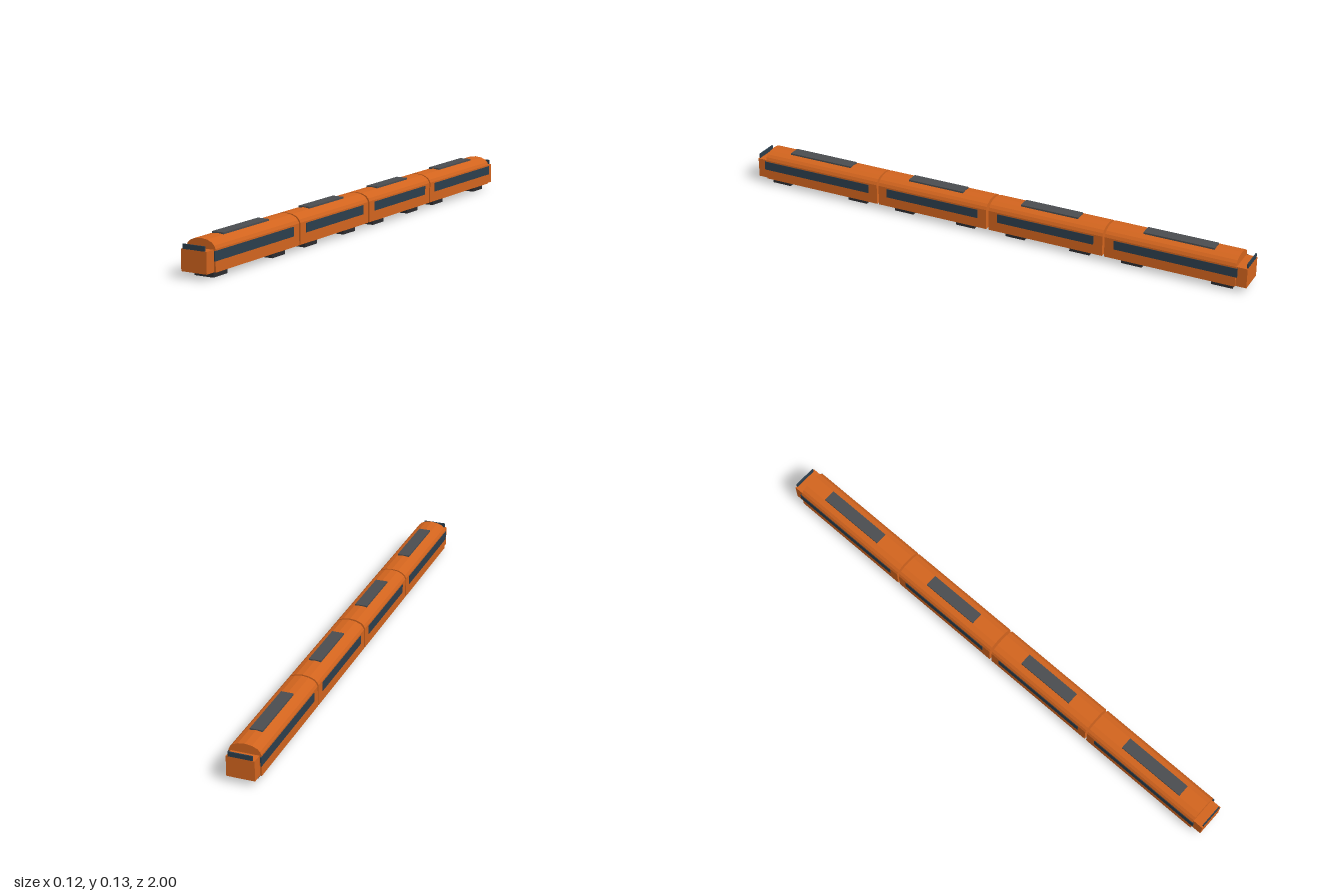
import * as THREE from 'three';

const paint = (color) => new THREE.MeshStandardMaterial({ color, flatShading: true });

export function createModel() {
  const train = new THREE.Group();
  train.name = 'train';
  const orange = paint(0xd2641e), glass = paint(0x2c3e4c);
  const roofGrey = paint(0x4a4d50), bogieGrey = paint(0x2b2b2f);

  // Box given by its centre x, its y range and its z range
  const box = (parent, name, material, width, x, y0, y1, z0, z1) => {
    const mesh = new THREE.Mesh(new THREE.BoxGeometry(width, y1 - y0, z1 - z0), material);
    mesh.position.set(x, (y0 + y1) / 2, (z0 + z1) / 2);
    mesh.name = name;
    parent.add(mesh);
  };

  // Body cross-section: straight sides under a faceted arched roof
  const half = [[0.058, 0.022], [0.058, 0.1], [0.053, 0.111], [0.044, 0.12], [0.025, 0.128]];
  const section = new THREE.Shape([
    ...half.map(([x, y]) => new THREE.Vector2(x, y)),
    new THREE.Vector2(0, 0.131),
    ...half.slice().reverse().map(([x, y]) => new THREE.Vector2(-x, y)),
  ]);

  // z ranges of one end car and one middle car
  const cars = [
    { name: 'endCar', body: [0.467, 0.96], windows: [0.503, 0.966], roof: [0.6, 0.867],
      bogies: [[0.525, 0.605], [0.867, 0.946]], nose: true },
    { name: 'middleCar', body: [0.005, 0.459], windows: [0.041, 0.424], roof: [0.119, 0.347],
      bogies: [[0.064, 0.142], [0.322, 0.401]] },
  ];

  // Each car is repeated, turned half round, at the other end
  for (const end of [0, 1]) {
    for (const spec of cars) {
      const car = new THREE.Group();
      car.name = spec.name;
      car.rotation.y = end * Math.PI;
      train.add(car);

      const [z0, z1] = spec.body;
      const body = new THREE.Mesh(
        new THREE.ExtrudeGeometry(section, { depth: z1 - z0, bevelEnabled: false }), orange);
      body.position.z = z0;
      body.name = 'body';
      car.add(body);

      for (const side of [-1, 1])
        box(car, 'windowBand', glass, 0.004, side * 0.0577, 0.06, 0.094, ...spec.windows);
      box(car, 'roofUnit', roofGrey, 0.046, 0, 0.126, 0.1345, ...spec.roof);
      for (const range of spec.bogies)
        box(car, 'bogie', bogieGrey, 0.076, 0, 0, 0.023, ...range);

      // Driver's nose with its windscreen
      if (spec.nose) {
        box(car, 'nose', orange, 0.102, 0, 0.022, 0.097, 0.95, 1);
        box(car, 'windscreen', glass, 0.088, 0, 0.095, 0.114, 0.995, 0.9995);
      }
    }
  }
  return train;
}
